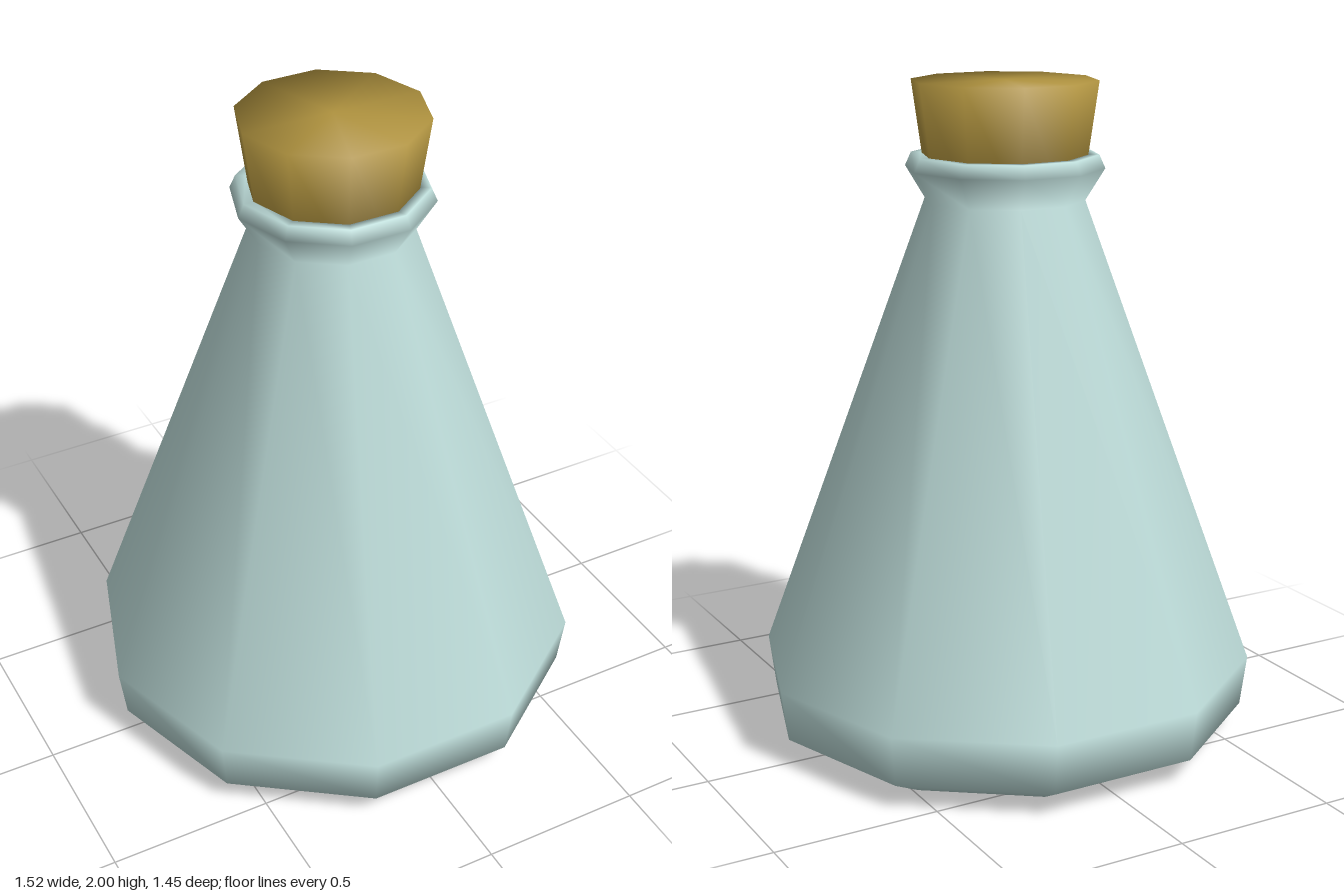
import * as THREE from 'three';

const SIDES = 10;

// Ten-sided smooth turned part, with corners on the x axis
function turned(name, profile, material) {
  const points = profile.map(([r, y]) => new THREE.Vector2(r, y));
  const geometry = new THREE.LatheGeometry(points, SIDES).rotateY(Math.PI / 2);
  const mesh = new THREE.Mesh(geometry, material);
  mesh.name = name;
  return mesh;
}

export function createModel() {
  const glass = new THREE.MeshStandardMaterial({ color: 0xbddcd9 });
  glass.name = 'pale glass';
  const corkBrown = new THREE.MeshStandardMaterial({ color: 0xb0933f });
  corkBrown.name = 'cork brown';

  const group = new THREE.Group();
  group.name = 'corkedFlask';

  // Conical flask: base, bevel, tapering wall, flared lip and inner neck
  group.add(turned('flask', [
    [0, 0], [0.6, 0], [0.74, 0.075], [0.76, 0.23], [0.24, 1.65],
    [0.298, 1.745], [0.28, 1.785], [0.25, 1.785], [0.225, 1.66],
  ], glass));

  // Tapered stopper seated in the neck
  group.add(turned('cork', [
    [0, 1.66], [0.23, 1.66], [0.278, 2], [0, 2],
  ], corkBrown));

  return group;
}
